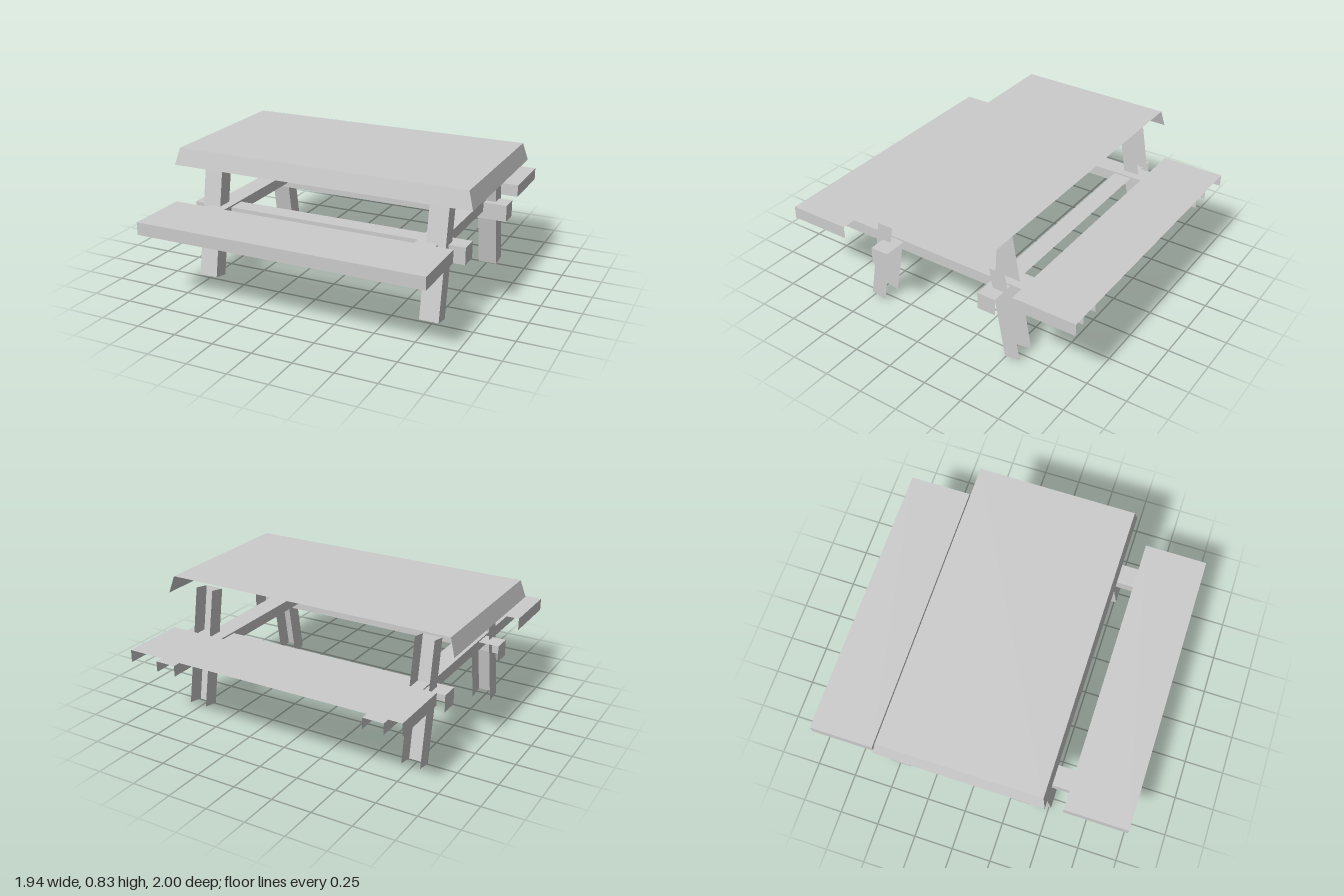
import * as THREE from 'three';

const material = new THREE.MeshStandardMaterial({
  color: 0xcccccc, flatShading: true, side: THREE.DoubleSide,
});

// Board that is open underneath and at the back.
// profile: [z, y] corners frontBottom, frontTop, backTop, backBottom
// bottomX / topX: [min, max] x at the lower and upper edges
function board(name, profile, bottomX, topX = bottomX, capped = true) {
  const corner = (i, s) => {
    const x = (i === 1 || i === 2 ? topX : bottomX)[s];
    return [x, profile[i][1], profile[i][0]];
  };
  const [FB, FT, BT, BB] = [0, 1, 2, 3];
  const quads = [
    [[FB, 0], [FB, 1], [FT, 1], [FT, 0]], // front
    [[FB, 1], [BB, 1], [BT, 1], [FT, 1]], // +x end
    [[BB, 0], [FB, 0], [FT, 0], [BT, 0]], // -x end
  ];
  if (capped) quads.push([[FT, 0], [FT, 1], [BT, 1], [BT, 0]]);

  const positions = [];
  for (const quad of quads) {
    for (const k of [0, 1, 2, 0, 2, 3]) positions.push(...corner(...quad[k]));
  }
  const geometry = new THREE.BufferGeometry();
  geometry.setAttribute('position', new THREE.Float32BufferAttribute(positions, 3));
  geometry.computeVertexNormals();
  const mesh = new THREE.Mesh(geometry, material);
  mesh.name = name;
  return mesh;
}

// Rectangular z-y profile
const rect = (zFront, zBack, y0, y1) => [[zFront, y0], [zFront, y1], [zBack, y1], [zBack, y0]];

// Leg profile leaning 10 degrees towards the middle of the table
function legProfile(front) {
  const angle = THREE.MathUtils.degToRad(10);
  const length = 0.75;
  const lean = front ? -1 : 1;
  const dz = lean * Math.sin(angle) * length;
  const dy = Math.cos(angle) * length;
  const [a, b] = front
    ? [[0.514, 0.018], [0.414, 0]]
    : [[-0.494, 0], [-0.594, 0.018]];
  return [a, [a[0] + dz, a[1] + dy], [b[0] + dz, b[1] + dy], b];
}

export function createModel() {
  const table = new THREE.Group();
  table.name = 'picnicTable';

  // Table top with sloping edges
  table.add(board('tableTop',
    [[0.5, 0.72], [0.48, 0.828], [-0.527, 0.828], [-0.543, 0.72]],
    [-0.968, 0.968], [-0.936, 0.936]));

  // Seats
  table.add(board('frontBench', rect(1, 0.6, 0.444, 0.522), [-0.9, 0.9]));
  table.add(board('backBench', rect(-0.6, -1, 0.444, 0.522), [-0.9, 0.9]));

  // Long rails between the leg pairs
  table.add(board('frontRail', rect(0.393, 0.275, 0.35, 0.456), [-0.9, 0.9]));
  table.add(board('backRail', rect(-0.369, -0.487, 0.35, 0.456), [-0.9, 0.9]));

  // Cross beams carrying the seats
  table.add(board('rightCrossBeam', rect(0.882, -0.957, 0.398, 0.466), [-0.769, -0.64]));
  table.add(board('leftCrossBeam', rect(0.882, -0.957, 0.398, 0.466), [0.618, 0.748]));

  // Splayed legs, open at both ends
  const legs = [
    ['frontRightLeg', true, -0.813], ['frontLeftLeg', true, 0.677],
    ['backRightLeg', false, -0.813], ['backLeftLeg', false, 0.695],
  ];
  for (const [name, front, x] of legs) {
    const span = [x, x + 0.12];
    table.add(board(name, legProfile(front), span, span, false));
  }

  return table;
}
